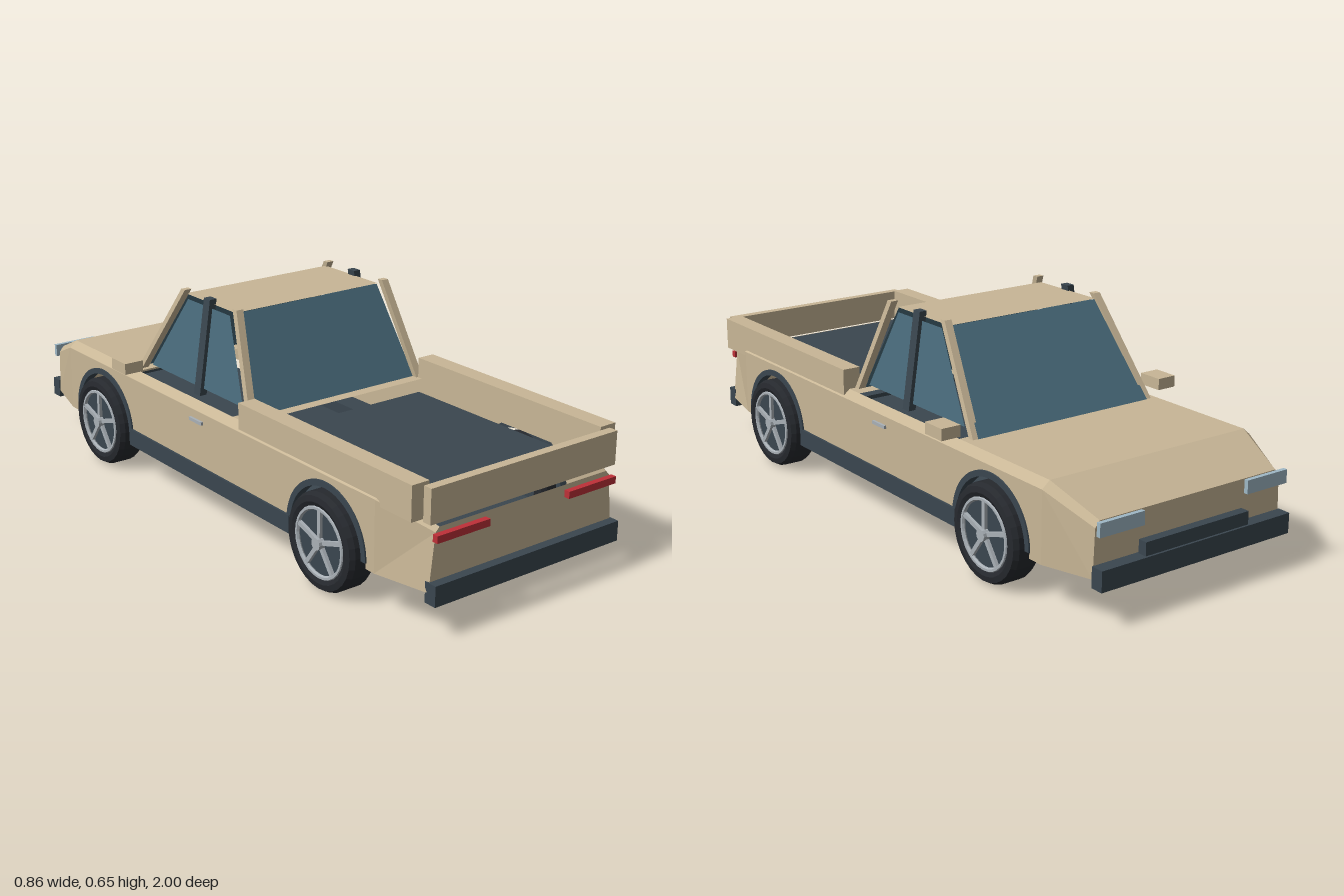
import * as THREE from 'three';

const mat = (color) => new THREE.MeshStandardMaterial({ color, flatShading: true, side: THREE.DoubleSide });
const paint = mat(0xc8b696), trim = mat(0x3a464f), glass = mat(0x4a6c7c);
const rubber = mat(0x26292e), alloy = mat(0xa9b0b6), red = mat(0xbe3038), lamp = mat(0x9fb8c6);

const WHEELS = [-0.58, 0.595], AXLE_Y = 0.143, ARCH_R = 0.17;

// Body stations: z, then bottom, shoulder and top corner as [x, y]
const STATIONS = [
  [-0.96, [0.335, 0.13], [0.33, 0.27], [0.315, 0.288]],
  [-0.8, [0.375, 0.125], [0.375, 0.335], [0.35, 0.356]],
  [0.8, [0.375, 0.125], [0.375, 0.335], [0.35, 0.356]],
  [0.972, [0.337, 0.125], [0.318, 0.29], [0.305, 0.303]],
];

export function createModel() {
  const model = new THREE.Group();
  const add = (name, geometry, material, parent = model) => {
    const mesh = new THREE.Mesh(geometry, material);
    mesh.name = name;
    parent.add(mesh);
    return mesh;
  };
  // Box given by its ranges
  const box = (name, x0, x1, y0, y1, z0, z1, material) => {
    const g = new THREE.BoxGeometry(Math.abs(x1 - x0), y1 - y0, z1 - z0);
    return add(name, g.translate((x0 + x1) / 2, (y0 + y1) / 2, (z0 + z1) / 2), material);
  };
  // Flat panel through four corners
  const quad = (name, a, b, c, d, material) => {
    const g = new THREE.BufferGeometry();
    g.setAttribute('position', new THREE.Float32BufferAttribute([a, b, c, a, c, d].flat(), 3));
    g.computeVertexNormals();
    return add(name, g, material);
  };
  // Leaning post with level ends
  const post = (name, a, b, wx, wz, material) => {
    const g = new THREE.BoxGeometry(wx, 1, wz);
    const p = g.attributes.position;
    for (let i = 0; i < p.count; i++) {
      const t = p.getY(i) + 0.5;
      p.setXYZ(i, p.getX(i) + a[0] + (b[0] - a[0]) * t, a[1] + (b[1] - a[1]) * t,
        p.getZ(i) + a[2] + (b[2] - a[2]) * t);
    }
    g.computeVertexNormals();
    return add(name, g, material);
  };
  // Corner k of a station, on side s
  const corner = (i, k, s) => [s * STATIONS[i][k][0], STATIONS[i][k][1], STATIONS[i][0]];

  // Panels across the body
  quad('nosePanel', corner(0, 1, 1), corner(0, 1, -1), corner(0, 2, -1), corner(0, 2, 1), paint);
  quad('noseEdge', corner(0, 2, 1), corner(0, 2, -1), corner(0, 3, -1), corner(0, 3, 1), paint);
  quad('hoodSlope', corner(0, 3, -1), corner(1, 3, -1), corner(1, 3, 1), corner(0, 3, 1), paint);
  quad('hood', [-0.35, 0.356, -0.8], [-0.35, 0.356, -0.4], [0.35, 0.356, -0.4], [0.35, 0.356, -0.8], paint);
  quad('rearDeck', [-0.35, 0.356, 0.12], [-0.35, 0.356, 0.195], [0.35, 0.356, 0.195], [0.35, 0.356, 0.12], paint);
  quad('tailPanel', corner(3, 1, -1), corner(3, 1, 1), corner(3, 2, 1), corner(3, 2, -1), paint);
  quad('tailEdge', corner(3, 2, -1), corner(3, 2, 1), corner(3, 3, 1), corner(3, 3, -1), paint);

  // Bed, underside and bumpers
  box('bedFloor', -0.302, 0.302, 0.303, 0.315, 0.195, 0.93, trim);
  box('tailgate', -0.338, 0.338, 0.315, 0.415, 0.946, 0.974, paint);
  box('chassis', -0.302, 0.302, 0.107, 0.127, -0.945, 0.917, trim);
  box('rearBumper', -0.338, 0.338, 0.095, 0.155, 0.96, 1, trim);
  box('frontBumper', -0.338, 0.338, 0.108, 0.168, -1, -0.96, trim);
  box('grille', -0.185, 0.185, 0.15, 0.207, -0.993, -0.965, trim);

  // Cabin glass and roof
  quad('windshield', [-0.312, 0.357, -0.437], [0.312, 0.357, -0.437], [0.267, 0.632, -0.24], [-0.267, 0.632, -0.24], glass);
  quad('rearWindow', [-0.307, 0.357, 0.16], [0.307, 0.357, 0.16], [0.265, 0.632, 0.025], [-0.265, 0.632, 0.025], glass);
  quad('roof', [-0.27, 0.633, -0.24], [-0.27, 0.633, 0.025], [0.27, 0.633, 0.025], [0.27, 0.633, -0.24], paint);

  for (const s of [1, -1]) {
    const side = s > 0 ? 'left' : 'right';

    // Side panel with wheel arches, drawn in z and y
    const outline = new THREE.Shape().moveTo(-0.8, 0.125);
    for (const z of WHEELS) {
      outline.lineTo(z - ARCH_R, 0.125);
      outline.absarc(z, AXLE_Y, ARCH_R, Math.PI, 0, true);
      outline.lineTo(z + ARCH_R, 0.125);
    }
    outline.lineTo(0.8, 0.125).lineTo(0.8, 0.335).lineTo(-0.8, 0.335);
    const panel = new THREE.ShapeGeometry(outline, 16).rotateY(-Math.PI / 2).translate(s * 0.375, 0, 0);
    add(side + 'SidePanel', panel, paint);

    // Tapered ends and bevelled shoulder
    for (const i of [0, 2])
      quad(side + 'EndPanel', corner(i, 1, s), corner(i + 1, 1, s), corner(i + 1, 2, s), corner(i, 2, s), paint);
    for (const i of [0, 1, 2])
      quad(side + 'Shoulder', corner(i, 2, s), corner(i + 1, 2, s), corner(i + 1, 3, s), corner(i, 3, s), paint);

    box(side + 'BedWall', s * 0.312, s * 0.37, 0.318, 0.42, 0.178, 0.937, paint);
    box(side + 'Rocker', s * 0.3, s * 0.382, 0.108, 0.163, -0.42, 0.435, trim);
    box(side + 'Mirror', s * 0.366, s * 0.43, 0.373, 0.408, -0.428, -0.348, paint);
    box(side + 'DoorHandle', s * 0.374, s * 0.383, 0.299, 0.309, -0.065, 0, alloy);
    box(side + 'TailLight', s * 0.145, s * 0.327, 0.267, 0.288, 0.972, 0.99, red);
    box(side + 'Headlight', s * 0.185, s * 0.335, 0.252, 0.292, -0.985, -0.972, lamp);

    // Pillars and side window
    post(side + 'FrontPillar', [s * 0.317, 0.357, -0.425], [s * 0.274, 0.65, -0.23], 0.024, 0.02, paint);
    post(side + 'MiddlePillar', [s * 0.317, 0.357, -0.1], [s * 0.274, 0.65, -0.1], 0.024, 0.032, trim);
    post(side + 'RearPillar', [s * 0.317, 0.357, 0.168], [s * 0.274, 0.65, 0.044], 0.024, 0.02, paint);
    quad(side + 'Window', [s * 0.314, 0.377, -0.375], [s * 0.314, 0.377, 0.12],
      [s * 0.278, 0.622, 0.008], [s * 0.278, 0.622, -0.215], glass);

    for (const z of WHEELS) {
      // Arch trim
      const ring = new THREE.Shape().absarc(0, 0, ARCH_R + 0.004, 0, Math.PI, false);
      ring.absarc(0, 0, 0.156, Math.PI, 0, true);
      const arch = new THREE.ExtrudeGeometry(ring, { depth: 0.03, bevelEnabled: false, curveSegments: 16 });
      add(side + 'ArchTrim', arch.rotateY(-Math.PI / 2).translate(s * 0.365 + 0.015, AXLE_Y, z), trim);

      // Wheel, built around the x axis
      const wheel = new THREE.Group();
      wheel.name = side + (z < 0 ? 'FrontWheel' : 'RearWheel');
      wheel.position.set(s * 0.356, AXLE_Y, z);
      const profile = [[0.1, -0.04], [0.118, -0.048], [0.135, -0.045], [0.143, -0.03],
        [0.143, 0.03], [0.135, 0.045], [0.118, 0.048], [0.1, 0.04]].map((p) => new THREE.Vector2(...p));
      add('tyre', new THREE.LatheGeometry(profile, 28).rotateZ(Math.PI / 2), rubber, wheel);
      add('rimDisc', new THREE.CylinderGeometry(0.104, 0.104, 0.07, 28).rotateZ(Math.PI / 2), trim, wheel);
      add('rimRing', new THREE.TorusGeometry(0.1, 0.007, 6, 28).rotateY(Math.PI / 2).translate(s * 0.04, 0, 0), alloy, wheel);
      add('hub', new THREE.CylinderGeometry(0.018, 0.018, 0.03, 12).rotateZ(Math.PI / 2).translate(s * 0.04, 0, 0), alloy, wheel);
      for (let k = 0; k < 5; k++) {
        const spoke = new THREE.BoxGeometry(0.014, 0.09, 0.013).translate(s * 0.038, 0.055, 0);
        add('spoke', spoke.rotateX((k * 2 * Math.PI) / 5), alloy, wheel);
      }
      model.add(wheel);
    }
  }
  return model;
}
